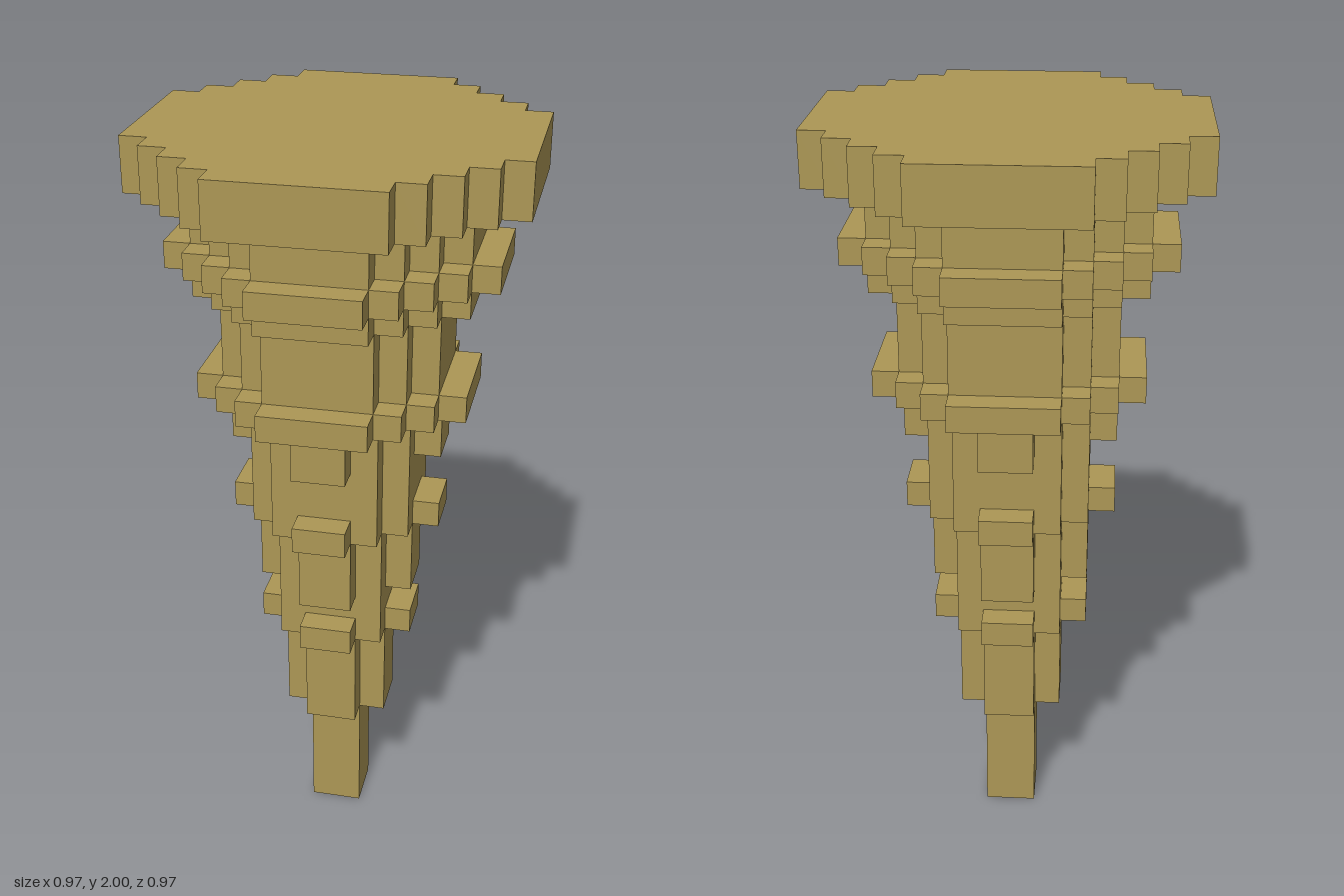
import * as THREE from 'three';

const U = 2 / 29; // edge of one block

// Stepped outlines: half width of each block row, counted out from the centre line
const STEM = [1];
const CROSS = [2, 1];
const SQUARE = [2, 2];
const CROSS6 = [3, 2, 1];
const ROUND6 = [3, 3, 2];
const CROSS8 = [4, 3, 2, 1];
const ROUND8 = [4, 4, 3, 2];
const ROUND10 = [5, 5, 4, 3, 2];
const ROUND12 = [6, 6, 5, 4, 3, 2];
const ROUND14 = [7, 7, 7, 6, 5, 4, 3];

// Layers from the ground up: name, outline, bottom row, top row
const LAYERS = [
  ['tip', STEM, 0, 5],
  ['lowerShaft', CROSS, 5, 9],
  ['lowerLedge', CROSS6, 9, 10],
  ['neck', SQUARE, 10, 11],
  ['ribbedShaft', CROSS6, 11, 14],
  ['ribbedLedge', CROSS8, 14, 15],
  ['middleShaft', ROUND6, 15, 17],
  ['bracketShaft', CROSS8, 17, 19],
  ['middleRing', ROUND10, 19, 20],
  ['upperShaft', ROUND8, 20, 23],
  ['ringBase', ROUND10, 23, 24],
  ['upperRing', ROUND12, 24, 25],
  ['collar', ROUND10, 25, 27],
  ['topPlatform', ROUND14, 27, 29],
];

// Trace one quarter of the stepped outline, then turn it around the centre
function outline(rows) {
  const quarter = [];
  rows.forEach((w, i) => {
    const next = rows[i + 1];
    if (next === w) return;
    quarter.push([w, i + 1]);
    if (next !== undefined) quarter.push([next, i + 1]);
  });
  const points = [];
  for (let q = 0; q < 4; q++) {
    for (const [x, y] of quarter) {
      points.push(new THREE.Vector2(x * U, y * U).rotateAround(new THREE.Vector2(), q * Math.PI / 2));
    }
  }
  return new THREE.Shape(points);
}

export function createModel() {
  const model = new THREE.Group();
  model.name = 'steppedSpire';
  const stone = new THREE.MeshStandardMaterial({ color: 0xac9755 });
  stone.name = 'sandstone';

  for (const [name, rows, bottom, top] of LAYERS) {
    const geometry = new THREE.ExtrudeGeometry(outline(rows), {
      depth: (top - bottom) * U,
      bevelEnabled: false,
    });
    geometry.rotateX(-Math.PI / 2);
    const mesh = new THREE.Mesh(geometry, stone);
    mesh.name = name;
    mesh.position.y = bottom * U;
    model.add(mesh);
  }
  return model;
}
